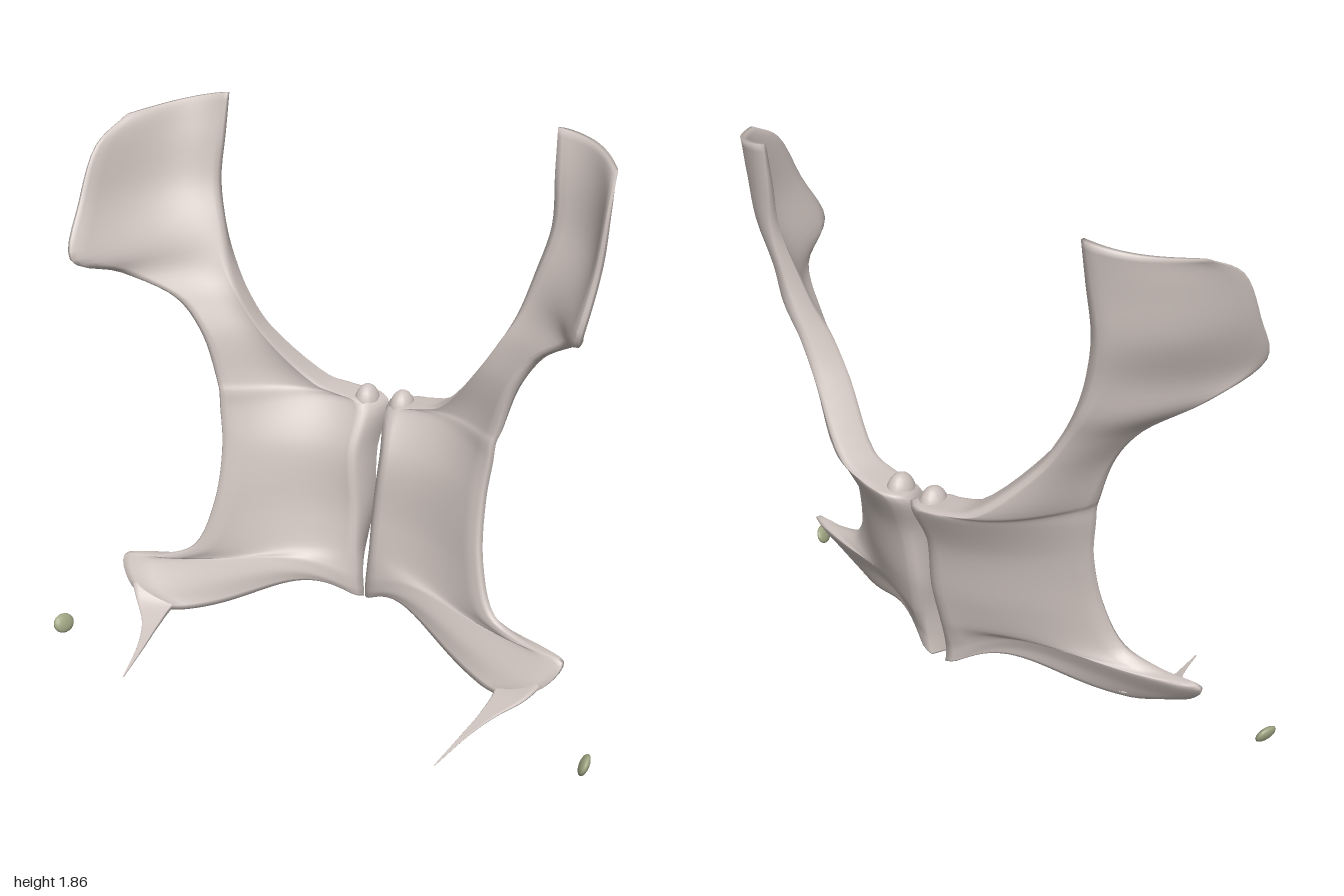
import * as THREE from 'three';

// Cross-sections from top to bottom: inner edge x y z, outer edge x y z, backward bow, inner thickness
const PLATE = [
  [.585, 1.86, -.35, .85, 1.8, -.14, .05, .02],
  [.592, 1.73, -.33, .88, 1.72, 0, .07, .035],
  [.602, 1.57, -.31, .887, 1.55, .1, .07, .05],
  [.573, 1.43, -.29, .87, 1.38, .185, .055, .07],
  [.532, 1.3, -.272, .8, 1.303, .01, .035, .095],
  [.482, 1.2, -.262, .65, 1.2, -.1, .02, .11],
  [.405, 1.08, -.28, .565, 1.08, -.12, .018, .12],
  [.222, .9, -.36, .515, .92, -.125, .035, .125],
  [.11, .872, -.37, .505, .89, -.12, .06, .13],
  [.02, .855, -.36, .5, .83, -.115, .08, .14],
  [.025, .7, -.295, .487, .7, -.1, .055, .145],
  [.015, .5, -.275, .5, .5, -.06, .045, .13],
  [.022, .36, -.26, .565, .335, -.02, .02, .12],
  [.022, .29, -.255, .69, .283, .005, -.005, .11],
  [.02, .24, -.25, .825, .262, .03, -.02, .105],
  [.018, .205, -.25, .77, .172, .07, -.015, .1],
  [.015, .18, -.25, .63, .11, .06, 0, .09],
];
const HOOK = [
  [.55, .155, -.02, .8, .225, .045, -.02, .03],
  [.61, .12, .05, .735, .14, .1, 0, .024],
  [.61, .092, .15, .667, .1, .17, 0, .016],
  [.593, .067, .27, .617, .071, .274, 0, .01],
  [.57, .038, .43, .574, .038, .43, 0, .003],
];

// Upward arch of the bottom edge, fading out with height
const bottomArch = y => .085 * (1 - THREE.MathUtils.smoothstep(y, .185, .4));

// Skins a bowed sheet between two edge curves; side is 1 for left, -1 for right
function thickSheet(rows, side, arch, tilt) {
  const M = 32, last = (rows.length - 1) * 5, ring = 2 * (M + 1);
  const curve = pick => new THREE.CatmullRomCurve3(rows.map(r => new THREE.Vector3(...pick(r))));
  const inner = curve(r => r.slice(0, 3));
  const outer = curve(r => r.slice(3, 6));
  const form = curve(r => [r[6], r[7], 0]);
  const pos = [], index = [];

  for (let i = 0; i <= last; i++) {
    const a = inner.getPoint(i / last), b = outer.getPoint(i / last);
    const { x: bow, y: thick } = form.getPoint(i / last);
    const chord = b.clone().sub(a).setY(0).normalize();
    const back = new THREE.Vector3(chord.z, 0, -chord.x);
    const middle = u => {
      const p = a.clone().lerp(b, u).addScaledVector(back, bow * Math.sin(Math.PI * u ** .75));
      p.y += arch(a.y) * Math.max(0, Math.sin(Math.PI * u ** .6)) ** 2.5;
      return p;
    };
    const put = (j, dir) => {
      const u = j / M;
      const t = middle(Math.min(1, u + .03)).sub(middle(Math.max(0, u - .03))).setY(0).normalize();
      const n = new THREE.Vector3(-t.z, tilt, t.x).normalize();
      const rim = Math.min(1, Math.sqrt((u + .04) / .1), Math.sqrt((1.015 - u) / .1));
      const depth = THREE.MathUtils.lerp(thick, Math.min(.04, thick / 2), u) * rim;
      middle(u).addScaledVector(n, dir * depth / 2).toArray(pos, pos.length);
    };
    for (let j = 0; j <= M; j++) put(j, 1);
    for (let j = M; j >= 0; j--) put(j, -1);
  }

  const quad = (a, b, c, d) => side > 0 ? index.push(a, b, c, a, c, d) : index.push(a, c, b, a, d, c);
  for (let i = 0; i < last; i++) {
    for (let j = 0; j < ring; j++) {
      const n = (j + 1) % ring, a = i * ring, b = a + ring;
      quad(a + j, b + j, b + n, a + n);
    }
  }
  // End caps
  const e = last * ring;
  for (let j = 0; j < M; j++) {
    const o = ring - 1 - j;
    quad(j, j + 1, o - 1, o);
    quad(e + o, e + o - 1, e + j + 1, e + j);
  }
  const g = new THREE.BufferGeometry();
  g.setAttribute('position', new THREE.Float32BufferAttribute(pos, 3));
  g.setIndex(index);
  g.scale(side, 1, 1);
  g.computeVertexNormals();
  return g;
}

export function createModel() {
  const bone = new THREE.MeshStandardMaterial({ color: 0xcfc4bf, side: THREE.DoubleSide });
  bone.name = 'bone';
  const olive = new THREE.MeshStandardMaterial({ color: 0xa0a583 });
  olive.name = 'olive';

  const model = new THREE.Group();
  model.name = 'boneGirdle';
  for (const side of [1, -1]) {
    const half = new THREE.Group();
    half.name = side > 0 ? 'leftHalf' : 'rightHalf';
    const add = (name, geometry, material) => {
      const mesh = new THREE.Mesh(geometry, material);
      mesh.name = name;
      half.add(mesh);
      return mesh;
    };
    add('bladePlate', thickSheet(PLATE, side, bottomArch, 0), bone);
    add('lowerHook', thickSheet(HOOK, side, () => 0, 1.2), bone);

    // Raised corner where the two halves meet
    const knob = add('innerKnob', new THREE.SphereGeometry(1, 18, 12), bone);
    knob.scale.set(.044, .075, .055);
    knob.position.set(side * .066, .835, -.365);

    // Small separate nodule beside the hook
    const nodule = add('nodule', new THREE.SphereGeometry(1, 14, 10), olive);
    nodule.scale.set(.015, .034, .041);
    nodule.rotation.set(0, side * .3, side * -.4);
    nodule.position.set(side * .975, .036, .21);
    model.add(half);
  }
  return model;
}
